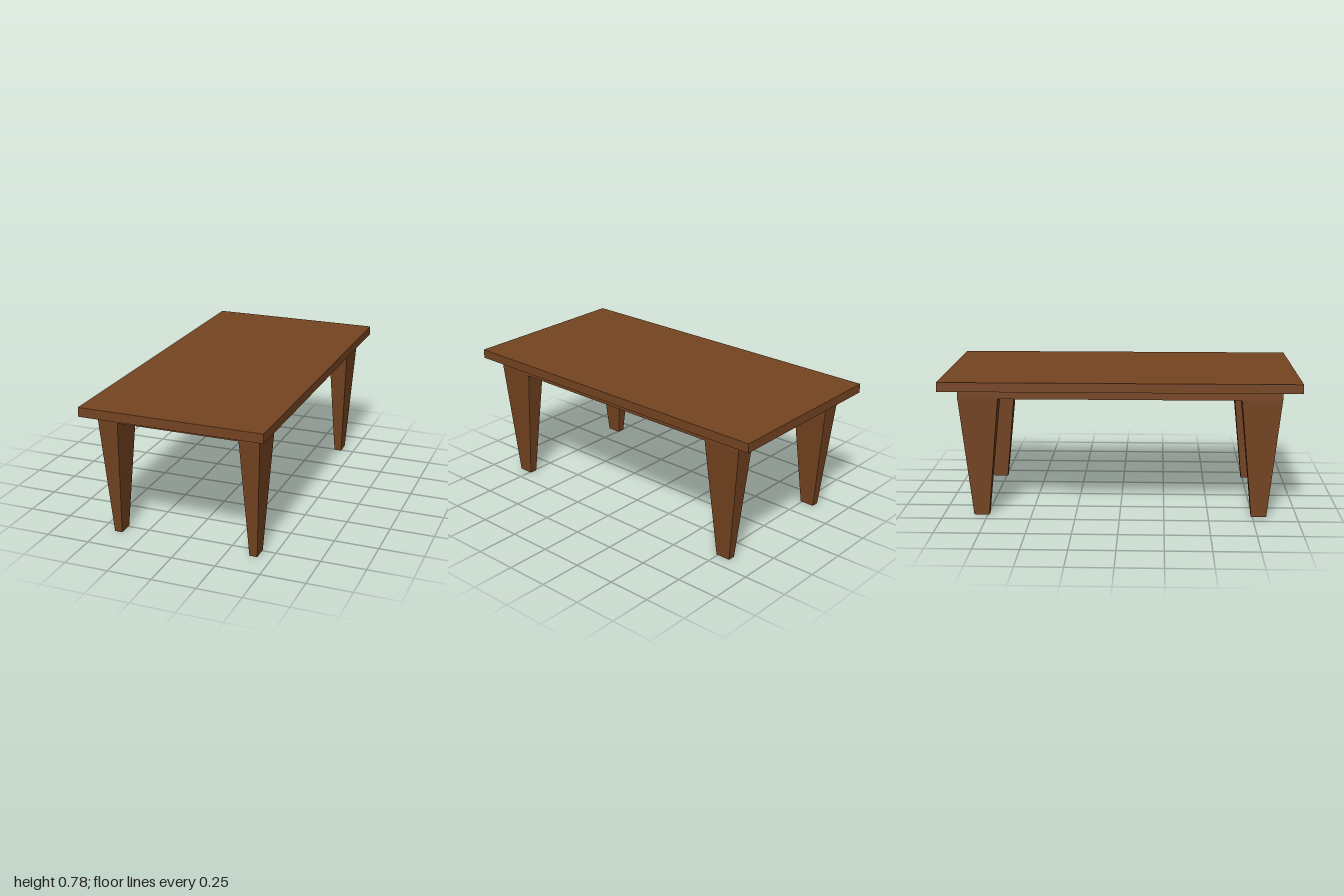
import * as THREE from 'three';

// Square tapered leg, open at the ends, oblong in plan
function legGeometry(topHalf, bottomHalf, height, depthRatio) {
  const g = new THREE.CylinderGeometry(topHalf * Math.SQRT2, bottomHalf * Math.SQRT2, height, 4, 1, true);
  g.rotateY(Math.PI / 4);
  g.scale(1, 1, depthRatio);
  const flat = g.toNonIndexed();
  flat.computeVertexNormals();
  return flat;
}

export function createModel() {
  const table = new THREE.Group();
  table.name = 'table';
  const wood = new THREE.MeshStandardMaterial({ color: 0x754421, side: THREE.DoubleSide });
  wood.name = 'brown wood';

  const add = (name, geometry, x, y, z) => {
    const mesh = new THREE.Mesh(geometry, wood);
    mesh.name = name;
    mesh.position.set(x, y, z);
    table.add(mesh);
  };

  // Table top and the slightly smaller slab beneath it
  add('tableTop', new THREE.BoxGeometry(1.03, 0.052, 2), 0, 0.756, 0);
  add('apron', new THREE.BoxGeometry(0.914, 0.051, 1.794), 0, 0.7045, 0);

  // Four tapered legs
  const leg = legGeometry(0.057, 0.022, 0.68, 1.96);
  for (const [endName, sz] of [['front', 1], ['back', -1]]) {
    for (const [sideName, sx] of [['Left', 1], ['Right', -1]]) {
      add(`${endName}${sideName}Leg`, leg, sx * 0.4, 0.34, sz * 0.785);
    }
  }
  return table;
}
